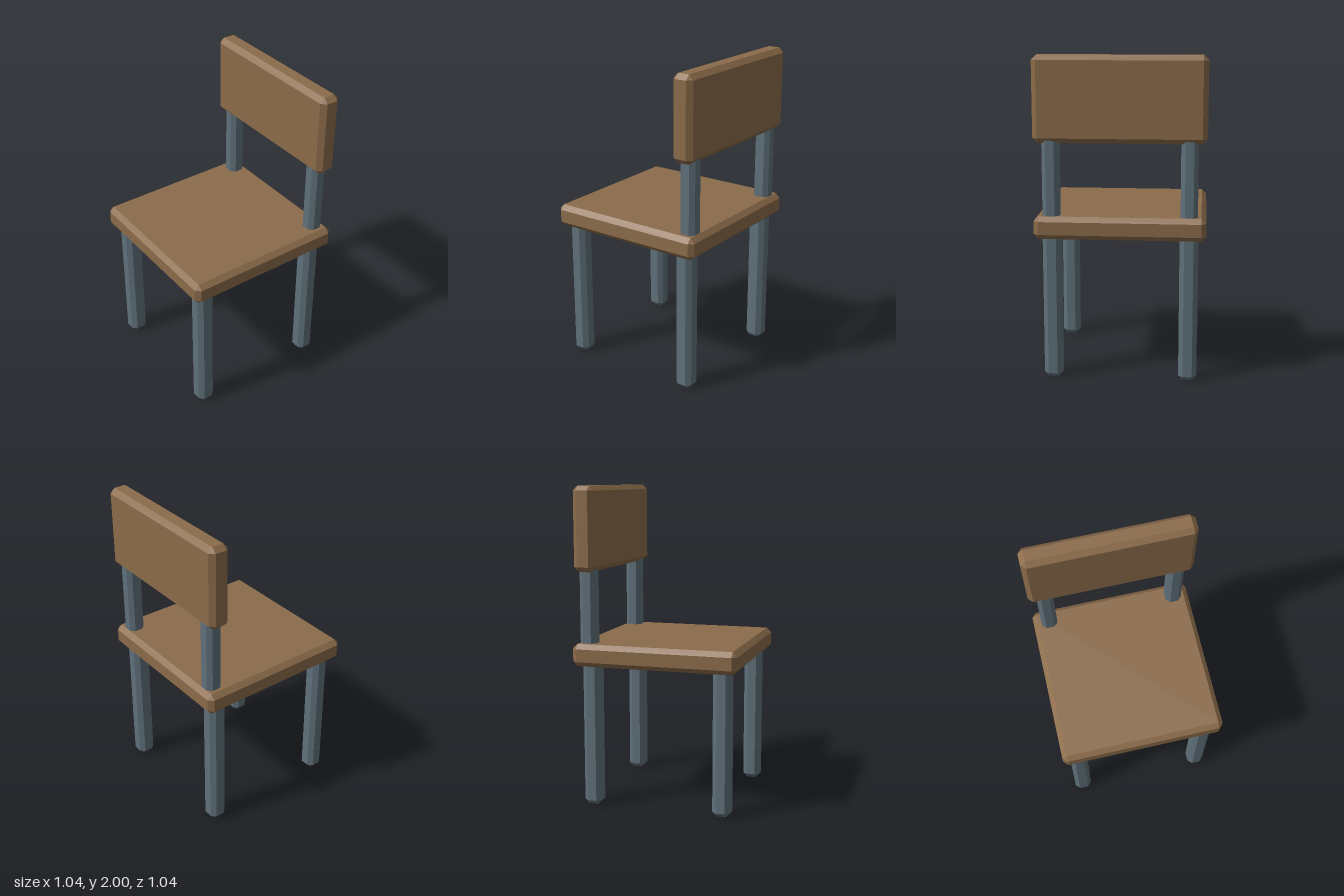
import * as THREE from 'three';
import { ConvexGeometry } from 'three/addons/geometries/ConvexGeometry.js';

const wood = new THREE.MeshStandardMaterial({ color: 0x8b6b4a });
const metal = new THREE.MeshStandardMaterial({ color: 0x5f707a });

// Box with every edge cut at 45 degrees and a small triangle at each corner
function chamferedBox(w, h, d, c) {
  const x = w / 2, y = h / 2, z = d / 2;
  const points = [];
  for (const sx of [-1, 1]) for (const sy of [-1, 1]) for (const sz of [-1, 1]) {
    points.push(
      new THREE.Vector3(sx * x, sy * (y - c), sz * (z - c)),
      new THREE.Vector3(sx * (x - c), sy * y, sz * (z - c)),
      new THREE.Vector3(sx * (x - c), sy * (y - c), sz * z)
    );
  }
  return new ConvexGeometry(points);
}

export function createModel() {
  const chair = new THREE.Group();
  chair.name = 'chair';

  const add = (name, geometry, material, x, y, z) => {
    const mesh = new THREE.Mesh(geometry, material);
    mesh.name = name;
    mesh.position.set(x, y, z);
    chair.add(mesh);
  };

  // Seat and backrest panels
  add('seat', chamferedBox(1.044, 0.14, 1.044, 0.03), wood, 0, 0.966, 0);
  add('backrest', chamferedBox(1.044, 0.52, 0.134, 0.03), wood, 0, 1.74, -0.438);

  // Four legs and two posts carrying the backrest
  const leg = chamferedBox(0.113, 0.93, 0.113, 0.028);
  const post = chamferedBox(0.104, 0.56, 0.104, 0.026);
  for (const [side, s] of [['left', 1], ['right', -1]]) {
    add(side + 'FrontLeg', leg, metal, s * 0.418, 0.465, 0.418);
    add(side + 'BackLeg', leg, metal, s * 0.418, 0.465, -0.418);
    add(side + 'BackPost', post, metal, s * 0.418, 1.26, -0.438);
  }

  return chair;
}
